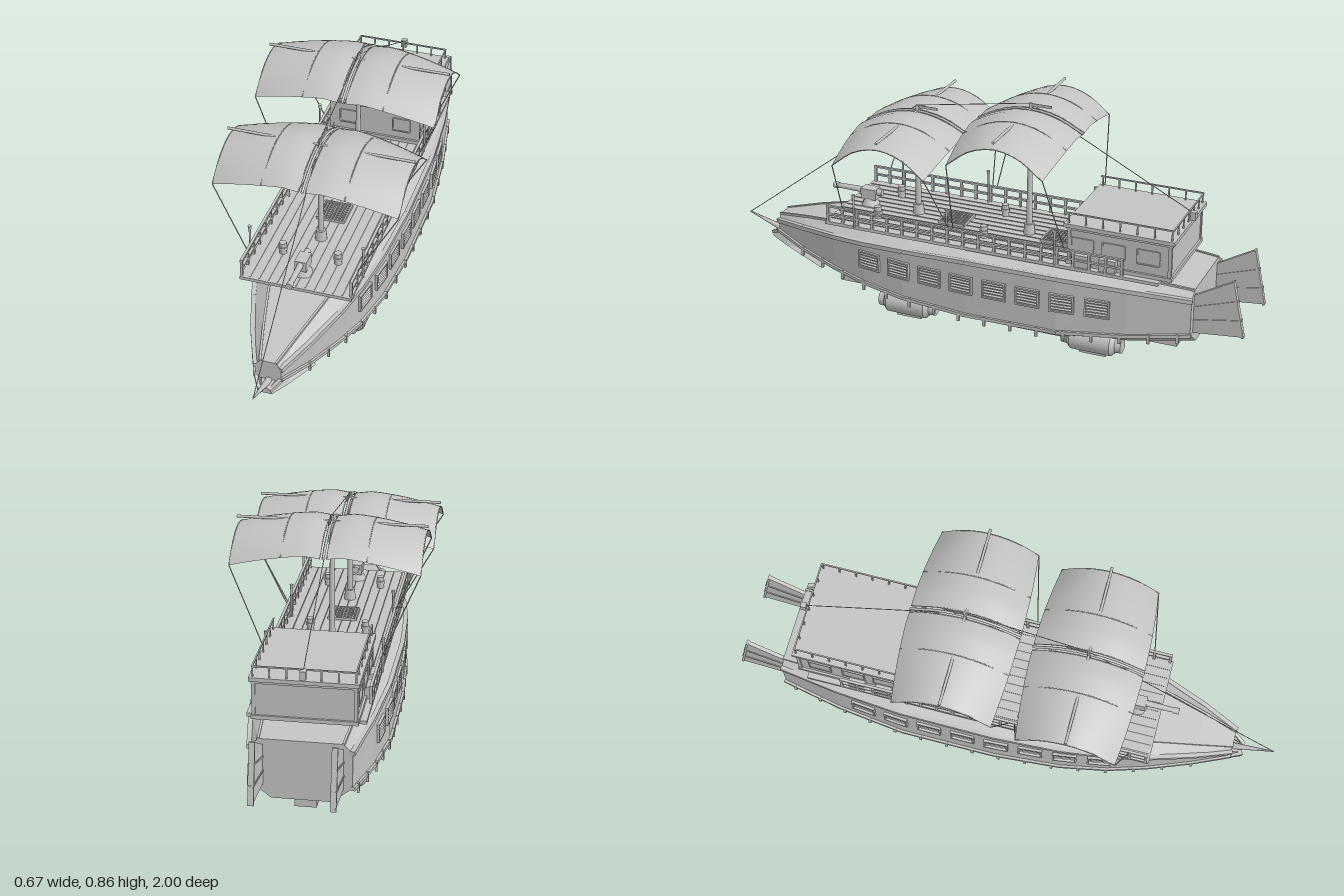
import * as THREE from 'three';

const mat = new THREE.MeshStandardMaterial({ color: 0xc4c4c4, side: THREE.DoubleSide });
mat.name = 'light grey';
const V = (x, y, z) => new THREE.Vector3(x, y, z);

// z, then height and half width of keel, wale, shoulder and roof edge
const stations = [
  [0.85, 0.195, 0.03, 0.21, 0.045, 0.25, 0.045, 0.272, 0.028],
  [0.72, 0.145, 0.06, 0.18, 0.095, 0.268, 0.1, 0.297, 0.062],
  [0.56, 0.105, 0.09, 0.157, 0.15, 0.285, 0.155, 0.32, 0.1],
  [0.42, 0.078, 0.115, 0.14, 0.188, 0.298, 0.19, 0.335, 0.13],
  [0.25, 0.06, 0.135, 0.125, 0.216, 0.312, 0.216, 0.347, 0.15],
  [0, 0.052, 0.14, 0.116, 0.233, 0.325, 0.233, 0.356, 0.158],
  [-0.35, 0.052, 0.14, 0.12, 0.233, 0.326, 0.23, 0.358, 0.16],
  [-0.6, 0.085, 0.125, 0.145, 0.208, 0.318, 0.206, 0.35, 0.155],
  [-0.82, 0.12, 0.1, 0.175, 0.17, 0.305, 0.17, 0.335, 0.14],
];

// Interpolated hull section at any z
function hullAt(z) {
  let i = 0;
  while (i < stations.length - 2 && stations[i + 1][0] > z) i++;
  const a = stations[i], b = stations[i + 1], t = (z - a[0]) / (b[0] - a[0]);
  return a.map((v, k) => v + (b[k] - v) * t);
}

// Closed loft through rings of equal length, ordered front to back
function loft(rings) {
  const p = [], n = rings[0].length;
  const tri = (...vs) => vs.forEach(v => p.push(v.x, v.y, v.z));
  for (let i = 0; i < rings.length - 1; i++) for (let j = 0; j < n; j++) {
    const k = (j + 1) % n, a = rings[i][j], b = rings[i][k], c = rings[i + 1][k], d = rings[i + 1][j];
    tri(a, d, c); tri(a, c, b);
  }
  const f = rings[0], l = rings[rings.length - 1];
  for (let j = 1; j < n - 1; j++) { tri(f[0], f[j], f[j + 1]); tri(l[0], l[j + 1], l[j]); }
  const g = new THREE.BufferGeometry();
  g.setAttribute('position', new THREE.Float32BufferAttribute(p, 3));
  g.computeVertexNormals();
  return g;
}

export function createModel() {
  const root = new THREE.Group();
  const add = (name, geo, x = 0, y = 0, z = 0, parent = root) => {
    const m = new THREE.Mesh(geo, mat);
    m.name = name; m.position.set(x, y, z); parent.add(m);
    return m;
  };
  const box = (name, w, h, d, x, y, z, parent) => add(name, new THREE.BoxGeometry(w, h, d), x, y, z, parent);
  const cyl = (name, r1, r2, h, x, y, z, n = 12) => add(name, new THREE.CylinderGeometry(r1, r2, h, n), x, y, z);
  const beam = (name, a, b, w, h = w) => {
    const m = box(name, w, h, a.distanceTo(b) + w * 0.4, 0, 0, 0);
    m.position.copy(a).add(b).multiplyScalar(0.5);
    m.lookAt(b);
    return m;
  };
  const rope = (a, b, r = 0.0015) => add('rope', new THREE.TubeGeometry(new THREE.LineCurve3(a, b), 1, r, 5));

  // Hull
  add('hull', loft(stations.map(([z, ky, kx, wy, wx, sy, sx, ry, rx]) => {
    const side = [[kx, ky], [wx, wy], [sx, sy], [rx, ry]];
    return [...side.map(q => V(q[0], q[1], z)), ...side.reverse().map(q => V(-q[0], q[1], z))];
  })));
  const beak = (w, lo, hi, z) => [V(w, lo, z), V(w * 0.6, hi, z), V(-w * 0.6, hi, z), V(-w, lo, z)];
  add('beak', loft([beak(0.025, 0.17, 0.19, 0.89), beak(0.05, 0.153, 0.2, 0.82), beak(0.1, 0.115, 0.15, 0.65)]));
  const sprit = add('bowsprit', new THREE.CylinderGeometry(0.002, 0.014, 0.17, 8), 0, 0.215, 0.92);
  sprit.rotation.x = Math.PI / 2 - 0.32;
  box('keelSkid', 0.075, 0.03, 1.33, 0, 0.06, -0.07);

  for (const s of [-1, 1]) {
    // Wale and shoulder rails following the hull
    for (let i = 0; i < stations.length - 1; i++) {
      const a = stations[i], b = stations[i + 1];
      beam('waleRail', V(s * a[4], a[3], a[0]), V(s * b[4], b[3], b[0]), 0.018, 0.012);
      beam('shoulderRail', V(s * a[6], a[5], a[0]), V(s * b[6], b[5], b[0]), 0.016, 0.016);
      beam('roofTrim', V(s * a[8], a[7], a[0]), V(s * b[8], b[7], b[0]), 0.008);
    }
    beam('beakRail', V(s * 0.045, 0.205, 0.85), V(s * 0.02, 0.185, 0.89), 0.012);
    for (let i = 0; i < 16; i++) {
      const z = 0.72 - i * 0.1, h = hullAt(z);
      box('walePost', 0.008, 0.036, 0.01, s * (h[4] + 0.006), h[3] - 0.01, z);
    }
    // Shuttered windows
    for (let i = -1; i < 7; i++) {
      const z = 0.265 - i * 0.127, h = hullAt(z), f = hullAt(z + 0.03), b = hullAt(z - 0.03);
      const g = new THREE.Group();
      g.name = 'window';
      g.position.set(s * (h[4] + h[6]) / 2, 0.235, z);
      g.rotation.y = s * Math.atan2(f[4] - b[4], 0.06);
      root.add(g);
      for (const e of [-1, 1]) {
        box('windowFrame', 0.018, 0.006, 0.09, 0, e * 0.031, 0, g);
        box('windowFrame', 0.018, 0.062, 0.006, 0, 0, e * 0.042, g);
      }
      for (let k = -2; k <= 2; k++) {
        box('windowSlat', 0.012, 0.004, 0.08, 0, k * 0.011, 0, g).rotation.z = -s * 0.5;
      }
    }
    // Floats under the hull
    for (const z of [0.265, -0.455]) {
      const profile = [[0, -0.112], [0.028, -0.112], [0.03, -0.09], [0.045, -0.075], [0.045, 0.075], [0.03, 0.09], [0.028, 0.112], [0, 0.112]];
      const pts = profile.flatMap(([r, y], i) => i && i < 7 ? [new THREE.Vector2(r, y), new THREE.Vector2(r, y)] : [new THREE.Vector2(r, y)]);
      add('float', new THREE.LatheGeometry(pts, 20), s * 0.135, 0.062, z).rotation.x = Math.PI / 2;
      box('floatFin', 0.005, 0.02, 0.1, s * 0.135, 0.014, z);
      box('floatStrut', 0.04, 0.03, 0.1, s * 0.125, 0.1, z);
    }
    // Stern fin with ribs
    const shape = new THREE.Shape([[0.81, 0.17], [1, 0.19], [0.955, 0.393], [0.81, 0.31]].map(q => new THREE.Vector2(...q)));
    const fin = add('sternFin', new THREE.ExtrudeGeometry(shape, { depth: 0.014, bevelEnabled: false }), s * 0.133 - 0.007);
    fin.rotation.y = Math.PI / 2;
    beam('finRib', V(s * 0.133, 0.22, -0.82), V(s * 0.133, 0.25, -0.985), 0.02, 0.006);
    beam('finRib', V(s * 0.133, 0.27, -0.82), V(s * 0.133, 0.32, -0.97), 0.02, 0.006);
    beam('finEdge', V(s * 0.133, 0.19, -0.995), V(s * 0.133, 0.388, -0.953), 0.02, 0.008);
    // Deck railing
    for (const y of [0.395, 0.427]) box('deckRail', 0.01, 0.007, 1.14, s * 0.196, y, -0.01);
    for (let i = 0; i < 20; i++) box('railPost', 0.009, 0.065, 0.009, s * 0.196, 0.395, 0.555 - i * 0.0595);
    for (const [z, x] of [[0.445, 0.204], [0.085, 0.187], [-0.33, 0.204]]) {
      cyl('lampPost', 0.004, 0.004, 0.12, s * x, 0.425, z, 8);
      cyl('lampCup', 0.007, 0.005, 0.018, s * x, 0.484, z, 8);
    }
    // Deck fittings
    for (const z of [0.4, -0.02]) {
      cyl('barrel', 0.013, 0.013, 0.045, s * 0.1, 0.39, z);
      cyl('barrelHoop', 0.016, 0.016, 0.012, s * 0.1, 0.39, z);
    }
    for (const z of [-0.42, -0.52]) box('crate', 0.025, 0.045, 0.06, s * 0.183, 0.39, z);
  }

  // Deck with planks and gratings
  box('deck', 0.4, 0.012, 1.275, 0, 0.36, -0.07);
  for (let i = -5; i <= 5; i++) box('plankSeam', 0.003, 0.003, 0.92, i * 0.033, 0.367, 0.1);
  for (const z of [0.13, -0.27]) {
    for (const e of [-1, 1]) {
      box('hatchFrame', 0.006, 0.012, 0.1, e * 0.05, 0.37, z);
      box('hatchFrame', 0.1, 0.012, 0.006, 0, 0.37, z + e * 0.05);
    }
    for (let i = -3; i <= 3; i++) {
      box('hatchBar', 0.004, 0.009, 0.1, i * 0.0125, 0.37, z);
      box('hatchBar', 0.1, 0.009, 0.004, 0, 0.37, z + i * 0.0125);
    }
  }

  // Bow gun
  cyl('gunBase', 0.022, 0.036, 0.03, 0, 0.38, 0.48, 8);
  box('gunCarriage', 0.042, 0.04, 0.06, 0, 0.412, 0.48);
  cyl('gunBarrel', 0.009, 0.013, 0.2, 0, 0.419, 0.53).rotation.x = Math.PI / 2;
  cyl('gunMuzzle', 0.012, 0.012, 0.02, 0, 0.419, 0.62).rotation.x = Math.PI / 2;

  // Cabin
  box('cabinPlinth', 0.356, 0.014, 0.385, 0, 0.373, -0.555);
  box('cabin', 0.34, 0.14, 0.37, 0, 0.437, -0.555);
  box('cabinRoof', 0.365, 0.014, 0.4, 0, 0.512, -0.555);
  box('cabinCornice', 0.35, 0.01, 0.385, 0, 0.5, -0.555);
  const cabinWindow = (x, y, z, w, h, turn) => {
    const g = new THREE.Group();
    g.name = 'cabinWindow'; g.position.set(x, y, z); g.rotation.y = turn; root.add(g);
    for (const e of [-1, 1]) {
      box('frame', w, 0.005, 0.008, 0, e * h / 2, 0, g);
      box('frame', 0.005, h, 0.008, e * w / 2, 0, 0, g);
    }
    box('pane', w, h, 0.003, 0, 0, 0, g);
  };
  for (const s of [-1, 1]) {
    cabinWindow(s * 0.103, 0.437, -0.369, 0.066, 0.052, 0);
    for (const z of [-0.42, -0.535, -0.66]) cabinWindow(s * 0.171, 0.44, z, 0.08, 0.052, Math.PI / 2);
    for (const z of [-0.372, -0.738]) box('cabinCorner', 0.012, 0.13, 0.012, s * 0.169, 0.437, z);
    box('roofRail', 0.005, 0.005, 0.385, s * 0.17, 0.556, -0.555);
    for (let i = 0; i < 7; i++) box('roofRailPost', 0.005, 0.04, 0.005, s * 0.17, 0.538, -0.37 - i * 0.062);
  }
  box('roofRail', 0.34, 0.005, 0.005, 0, 0.556, -0.745);
  for (let i = -2; i <= 2; i++) box('roofRailPost', 0.005, 0.04, 0.005, i * 0.057, 0.538, -0.745);
  box('sternLantern', 0.02, 0.03, 0.02, 0, 0.545, -0.762);

  // Masts, yards and arched sails
  const rigs = [{ z: 0.283, top: 0.79, lift: 0 }, { z: -0.155, top: 0.865, lift: 0.075 }];
  for (const { z, top, lift } of rigs) {
    cyl('mast', 0.006, 0.012, top - 0.36, 0, (top + 0.36) / 2, z);
    cyl('mastCollar', 0.018, 0.022, 0.04, 0, 0.385, z);
    cyl('mastBand', 0.013, 0.013, 0.02, 0, top - 0.09, z);
    cyl('yard', 0.005, 0.005, 0.666, 0, 0.767 + lift, z).rotation.z = Math.PI / 2;
    box('pennant', 0.003, 0.01, 0.08, 0, top - 0.005, z - 0.04);
    const sailPoint = (x, v) => {
      const u = Math.abs(x) / 0.33, depth = 0.198 - 0.022 * u * u;
      const crest = 0.768 + 0.03 * Math.sin(Math.min(u * 6, Math.PI / 2)) * Math.min(u * 6, 1) * 0.4 - 0.04 * u * u;
      return V(x, crest + lift - (0.062 + 0.024 * u) * v * v, z + v * depth);
    };
    for (const s of [-1, 1]) {
      const sail = new THREE.PlaneGeometry(1, 1, 12, 16), p = sail.attributes.position;
      for (let i = 0; i < p.count; i++) {
        const q = sailPoint(s * (0.012 + (p.getX(i) + 0.5) * 0.316), -s * 2 * p.getY(i));
        p.setXYZ(i, q.x, q.y, q.z);
      }
      sail.computeVertexNormals();
      add('sail', sail);
      for (const x of [0.012, 0.147, 0.328]) {
        const pts = [-1, -0.5, 0, 0.5, 1].map(v => sailPoint(s * x, v));
        add('sailBatten', new THREE.TubeGeometry(new THREE.CatmullRomCurve3(pts), 12, 0.002, 5));
      }
      for (const v of [-1, 1]) {
        const foot = V(s * 0.2, 0.43, z + v * 0.21);
        rope(sailPoint(s * 0.328, v), foot, 0.002);
      }
    }
    const spine = [-1, -0.5, 0, 0.5, 1].map(v => sailPoint(0, v));
    add('sailSpine', new THREE.TubeGeometry(new THREE.CatmullRomCurve3(spine), 12, 0.005, 6));
  }

  // Stays
  const stays = [V(0, 0.24, 1), V(0, 0.79, 0.283), V(0, 0.865, -0.155), V(0, 0.555, -0.76)];
  for (let i = 0; i < 3; i++) rope(stays[i], stays[i + 1]);
  return root;
}
